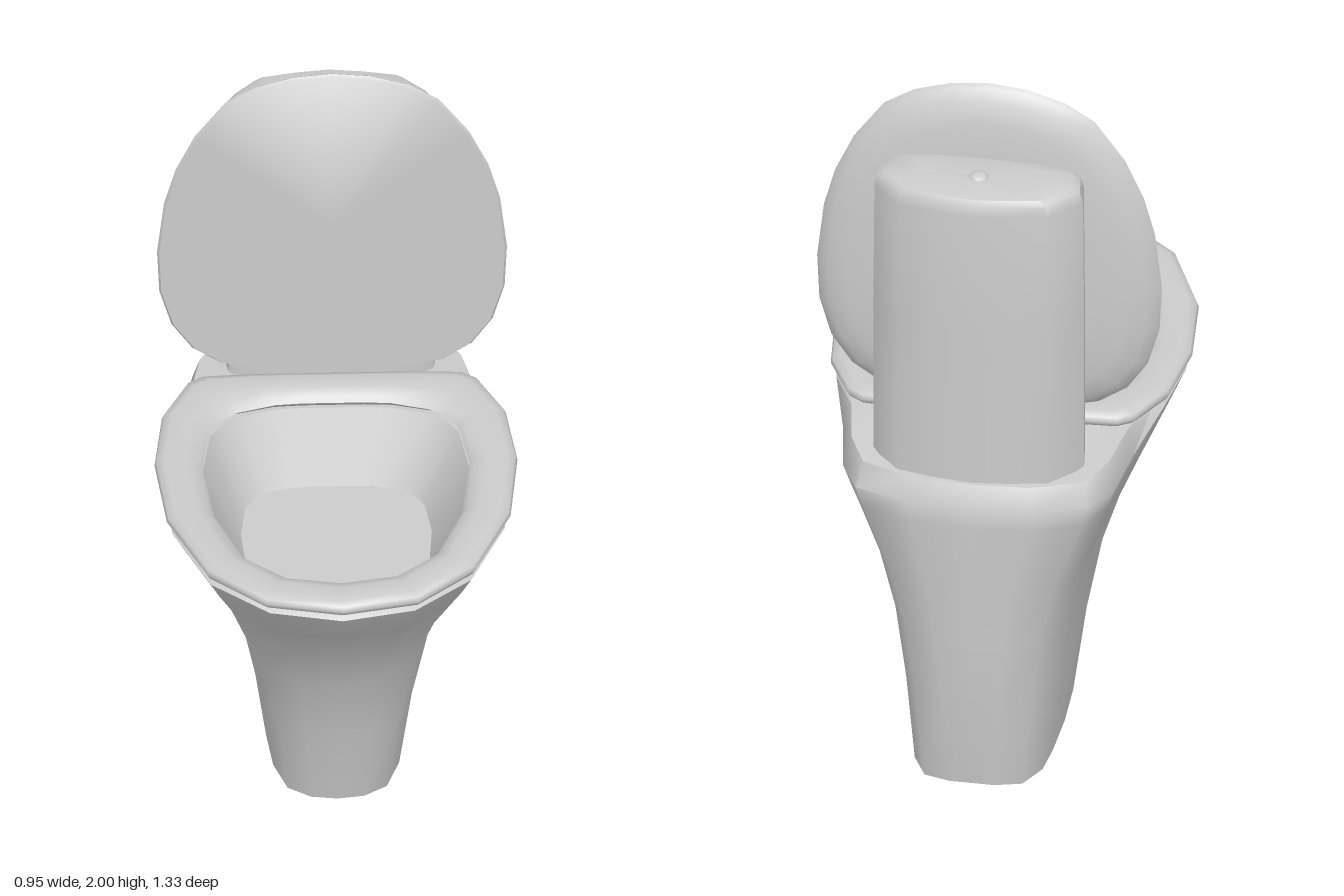
import * as THREE from 'three';
import { toCreasedNormals } from 'three/addons/utils/BufferGeometryUtils.js';

const material = new THREE.MeshStandardMaterial({ color: 0xcccccc });

// Half outlines, from the middle of one end round the +x side to the other end
const footHalf = [[0, .18], [.07, .17], [.13, .13], [.165, .03], [.18, -.1], [.185, -.25],
  [.18, -.4], [.17, -.5], [.13, -.58], [.06, -.6], [0, -.6]];
const topHalf = [[0, .645], [.19, .605], [.34, .48], [.435, .26], [.46, .02], [.435, -.18],
  [.385, -.36], [.36, -.5], [.31, -.6], [.17, -.65], [0, -.665]];
const openingHalf = [[0, .535], [.14, .51], [.25, .42], [.325, .235], [.35, .03], [.325, -.13],
  [.29, -.175], [.25, -.205], [.15, -.235], [.08, -.24], [0, -.24]];
const floorHalf = [[0, .41], [.105, .39], [.195, .31], [.24, .18], [.25, .05], [.235, -.06],
  [.21, -.1], [.18, -.125], [.11, -.145], [.06, -.148], [0, -.148]];
const seatHalf = [[0, .66], [.2, .62], [.35, .49], [.45, .26], [.475, .02], [.45, -.18],
  [.38, -.32], [.34, -.345], [.22, -.35], [.1, -.35], [0, -.35]];
const lidHalf = [[0, 1.01], [.17, 1.02], [.29, 1.05], [.365, 1.1], [.42, 1.18], [.452, 1.29],
  [.458, 1.42], [.44, 1.58], [.41, 1.69], [.36, 1.8], [.28, 1.91], [.2, 1.96], [.1, 1.99], [0, 2]];
const tankHalf = [[0, -.385], [.15, -.39], [.25, -.405], [.268, -.42], [.28, -.5], [.26, -.53],
  [.2, -.59], [.1, -.61], [0, -.622]];

const lerp = THREE.MathUtils.lerp;
const mirror = half => [...half, ...half.slice(1, -1).reverse().map(([x, z]) => [-x, z])];
const mix = (a, b, t) => a.map((p, i) => [lerp(p[0], b[i][0], t), lerp(p[1], b[i][1], t)]);
const ring = (half, y) => mirror(half).map(([x, z]) => [x, y, z]);
const scaled = (half, s, c) => half.map(([x, z]) => [x * s, c + (z - c) * s]);

// Skin a stack of equal rings; closed = last ring joins the first, otherwise both ends are capped
function loft(name, rings, closed = false, crease = .9) {
  const n = rings[0].length, pos = rings.flat(2), index = [];
  const last = closed ? rings.length : rings.length - 1;
  for (let i = 0; i < last; i++) {
    const lo = i * n, hi = ((i + 1) % rings.length) * n;
    for (let j = 0; j < n; j++) {
      const k = (j + 1) % n;
      index.push(lo + j, lo + k, hi + k, lo + j, hi + k, hi + j);
    }
  }
  if (!closed) {
    for (const end of [0, rings.length - 1]) {
      const centre = pos.length / 3;
      for (let a = 0; a < 3; a++) pos.push(rings[end].reduce((s, p) => s + p[a], 0) / n);
      for (let j = 0; j < n; j++) {
        const a = end * n + j, b = end * n + (j + 1) % n;
        index.push(...(end ? [a, b, centre] : [b, a, centre]));
      }
    }
  }
  const geometry = new THREE.BufferGeometry();
  geometry.setAttribute('position', new THREE.Float32BufferAttribute(pos, 3));
  geometry.setIndex(index);
  const mesh = new THREE.Mesh(toCreasedNormals(geometry, crease), material);
  mesh.name = name;
  return mesh;
}

// Pedestal and bowl in one skin: up the outside, over the rim, down to the bowl floor
function makeBowl() {
  const levels = [[0, 0, 0], [.25, .12, .6], [.47, .27, .75], [.65, .49, .88], [.8, .75, .95], [.88, .89, .98], [.95, 1, 1]];
  const rings = levels.map(([y, t, back]) => {
    const half = mix(footHalf, topHalf, t).map(([x, z], i) =>
      [x, i > 6 ? lerp(footHalf[i][1], topHalf[i][1], back) : z]);
    // The shoulder sits lower behind the seat
    return mirror(half).map(([x, z]) =>
      [x, y - .07 * (y / .95) ** 3 * THREE.MathUtils.smoothstep(-z, .15, .5), z]);
  });
  const rim = topHalf.map(([x, z]) => [x * .95, z * .95]);
  rings.push(mirror(rim).map(([x, z]) => [x, .972 - .032 * THREE.MathUtils.smoothstep(-z, .3, .62), z]));
  rings.push(ring(openingHalf, .97));
  rings.push(ring(floorHalf, .78));
  return loft('bowl', rings);
}

// Seat ring with a rounded section: [share of the way to the inner edge, height]
function makeSeat() {
  const section = [[.06, .976], [0, .99], [.04, 1.003], [.2, 1.01], [.65, 1.01], [.9, 1], [1, .985], [.92, .972]];
  return loft('seat', section.map(([t, y]) => ring(mix(seatHalf, openingHalf, t), y)), true, 1.2);
}

// Raised lid: flat at the front, domed at the back
function makeLid() {
  const section = [[.6, -.396], [.82, -.387], [.93, -.37], [.985, -.35], [1, -.338], [.988, -.33]];
  return loft('lid', section.map(([s, z]) =>
    mirror(scaled(lidHalf, s, 1.45)).map(([x, y]) => [x, y, z])));
}

// Cistern with a softened top edge
function makeTank() {
  const section = [[1, .92], [1, 1.4], [.99, 1.76], [.96, 1.79], [.88, 1.805], [.6, 1.812]];
  return loft('tank', section.map(([s, y]) => ring(scaled(tankHalf, s, -.5), y)), false, .7);
}

export function createModel() {
  const model = new THREE.Group();
  model.name = 'toilet';
  model.add(makeBowl(), makeSeat(), makeLid(), makeTank());

  // Flush button
  const button = new THREE.Mesh(new THREE.SphereGeometry(.027, 12, 6, 0, Math.PI * 2, 0, Math.PI / 2), material);
  button.name = 'flushButton';
  button.scale.y = .6;
  button.position.set(0, 1.808, -.5);
  model.add(button);
  return model;
}
